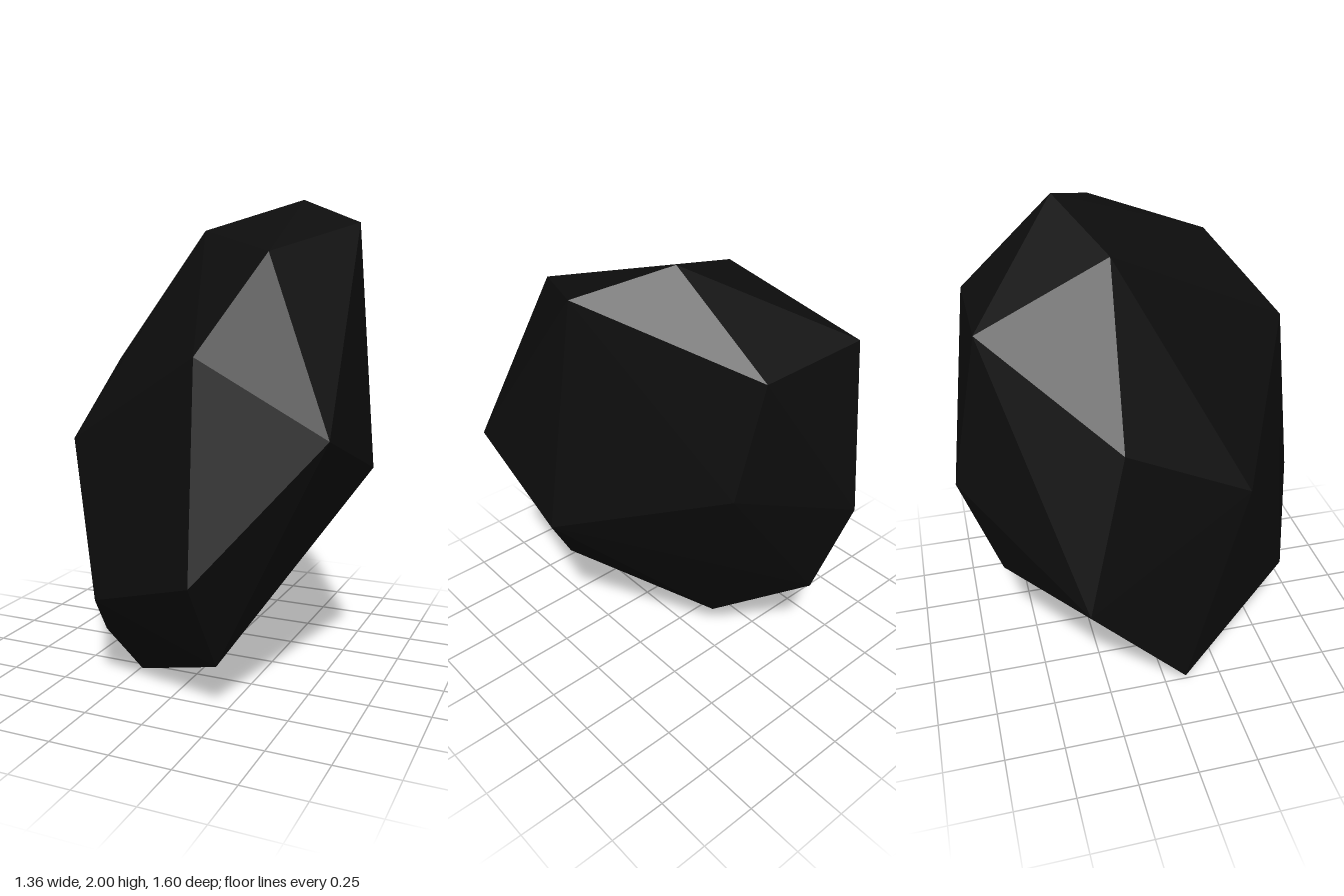
import * as THREE from 'three';
import { ConvexGeometry } from 'three/addons/geometries/ConvexGeometry.js';

export function createModel() {
  const group = new THREE.Group();
  group.name = 'rock';

  const coal = new THREE.MeshStandardMaterial({ color: 0x0d0d0d });
  coal.name = 'coalBlack';

  // Corners of the faceted stone, from top to bottom
  const corners = [
    // crown
    [0.27, 2.0, -0.29], [0.58, 1.89, -0.08], [-0.13, 1.87, -0.14], [0.36, 1.77, 0.38],
    [-0.28, 1.68, -0.68], [0.2, 1.67, -0.68],
    // upper sides
    [0.2, 1.4, 0.7], [-0.6, 1.29, -0.2], [0.28, 1.18, -0.62], [0.65, 1.1, 0.52],
    // middle
    [-0.21, 1.01, -0.8], [-0.53, 1.0, 0.33], [0.68, 0.91, 0],
    // lower sides
    [-0.68, 0.62, -0.36], [0.22, 0.58, 0.8], [-0.18, 0.53, -0.64], [-0.29, 0.4, 0.59],
    // foot
    [0.23, 0.2, 0.57], [-0.03, 0.18, -0.2], [-0.54, 0.06, 0.08], [-0.24, 0, 0.29],
  ];

  const stone = new THREE.Mesh(
    new ConvexGeometry(corners.map((c) => new THREE.Vector3(...c))),
    coal
  );
  stone.name = 'stone';
  group.add(stone);
  return group;
}
